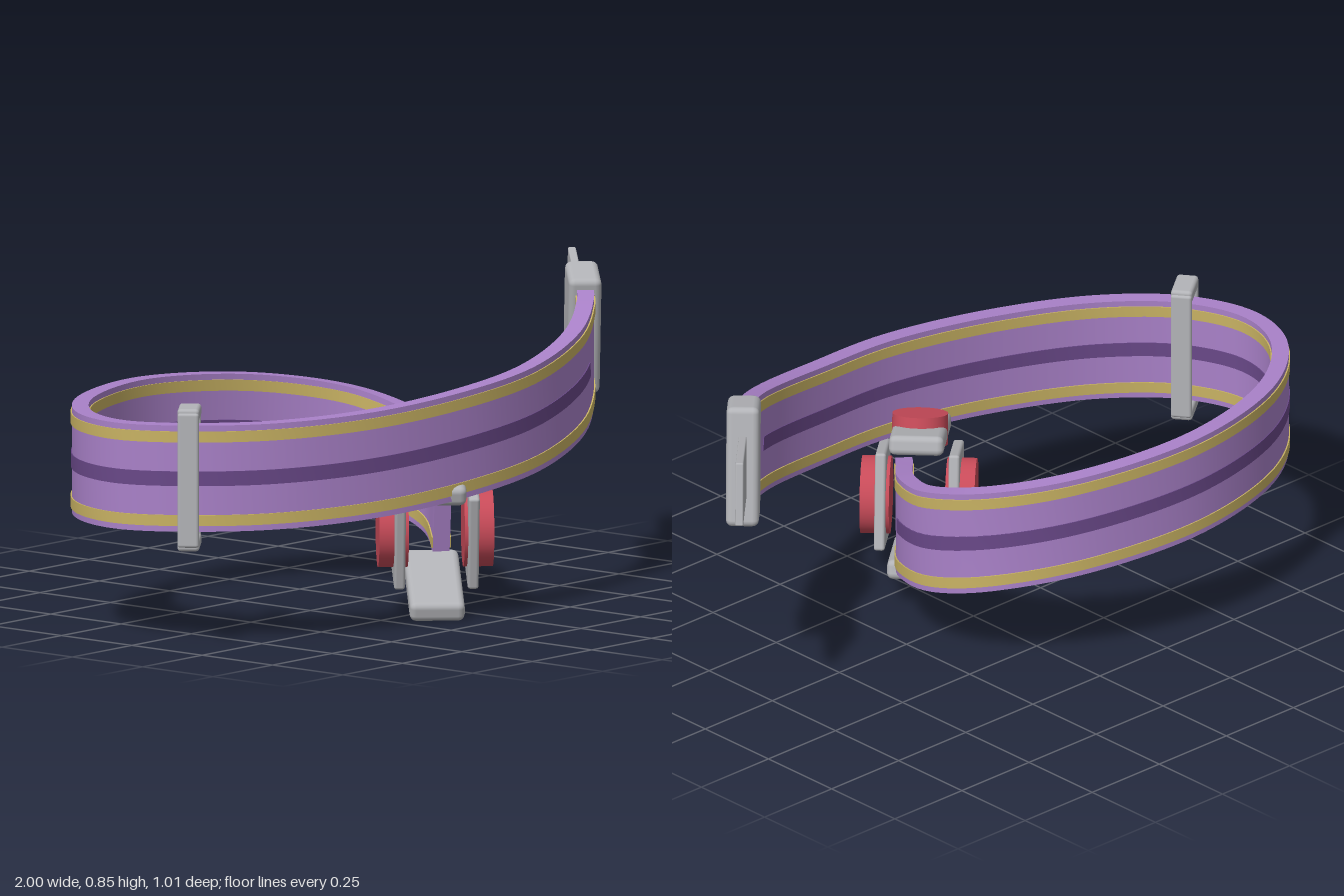
import * as THREE from 'three';
import { RoundedBoxGeometry } from 'three/addons/geometries/RoundedBoxGeometry.js';

const flat = (name, color) => {
  const m = new THREE.MeshStandardMaterial({ color });
  m.name = name;
  return m;
};

// Centre line of the coiled strap, from the clasp to the free tip
const PATH = new THREE.CatmullRomCurve3([
  [0.07, 0.275, 0.2], [0.19, 0.315, 0.06], [0.235, 0.345, -0.08], [0.19, 0.39, -0.25],
  [0, 0.43, -0.41], [-0.36, 0.457, -0.49], [-0.72, 0.46, -0.4], [-0.92, 0.46, -0.23],
  [-0.97, 0.46, -0.06], [-0.9, 0.463, 0.12], [-0.73, 0.465, 0.28], [-0.45, 0.475, 0.4],
  [-0.1, 0.5, 0.45], [0.2, 0.527, 0.42], [0.45, 0.575, 0.345], [0.62, 0.627, 0.24],
  [0.72, 0.663, 0.145],
].map((p) => new THREE.Vector3(...p)));
PATH.arcLengthDivisions = 600;

// Sweeps a rectangle (v across the strap width, half thickness n) along the path
function sweep(u0, u1, v0, v1, n, steps = 140) {
  const pos = [], idx = [];
  const up = new THREE.Vector3(0, 1, 0);
  const corners = [[v0, n], [v1, n], [v1, -n], [v0, -n]];
  for (let i = 0; i <= steps; i++) {
    const u = u0 + (u1 - u0) * i / steps;
    const p = PATH.getPointAt(u), t = PATH.getTangentAt(u);
    const side = new THREE.Vector3().crossVectors(t, up).normalize();
    const v = new THREE.Vector3().crossVectors(side, t);
    // each side keeps its own two vertices so that edges stay sharp
    for (let k = 0; k < 4; k++) {
      for (const [a, b] of [corners[k], corners[(k + 1) % 4]]) {
        const q = p.clone().addScaledVector(v, a).addScaledVector(side, b);
        pos.push(q.x, q.y, q.z);
      }
    }
  }
  for (let i = 0; i < steps; i++) {
    for (let k = 0; k < 4; k++) {
      const a = i * 8 + k * 2, b = a + 1, c = a + 8, d = a + 9;
      idx.push(a, b, c, b, d, c);
    }
  }
  // end caps
  for (const [base, flip] of [[0, false], [steps * 8, true]]) {
    const s = pos.length / 3;
    for (let k = 0; k < 4; k++) {
      const o = (base + k * 2) * 3;
      pos.push(pos[o], pos[o + 1], pos[o + 2]);
    }
    if (flip) idx.push(s, s + 1, s + 2, s, s + 2, s + 3);
    else idx.push(s, s + 2, s + 1, s, s + 3, s + 2);
  }
  const g = new THREE.BufferGeometry();
  g.setAttribute('position', new THREE.Float32BufferAttribute(pos, 3));
  g.setIndex(idx);
  g.computeVertexNormals();
  return g;
}

// Group whose x runs along the strap, y across its width, z out of its face
function framed(name, origin, direction) {
  const t = new THREE.Vector3(...direction).normalize();
  const n = new THREE.Vector3().crossVectors(t, new THREE.Vector3(0, 1, 0)).normalize();
  const u = new THREE.Vector3().crossVectors(n, t);
  const g = new THREE.Group();
  g.name = name;
  g.quaternion.setFromRotationMatrix(new THREE.Matrix4().makeBasis(t, u, n));
  g.position.set(...origin);
  return g;
}

export function createModel() {
  const purple = flat('purple strap', 0xa981c8);
  purple.side = THREE.DoubleSide;
  const darkPurple = flat('dark purple', 0x694888);
  darkPurple.side = THREE.DoubleSide;
  const gold = flat('gold', 0xc8b263);
  gold.side = THREE.DoubleSide;
  const metal = flat('grey metal', 0xb3b4b8);
  const red = flat('red', 0xc84b59);

  const model = new THREE.Group();
  model.name = 'belt';
  const add = (parent, name, geometry, material, x = 0, y = 0, z = 0) => {
    const m = new THREE.Mesh(geometry, material);
    m.name = name;
    m.position.set(x, y, z);
    parent.add(m);
    return m;
  };
  const box = (w, h, d, r) => new RoundedBoxGeometry(w, h, d, 2, r);

  // Strap with edge bands and a centre stripe on both faces
  add(model, 'strap', sweep(0, 1, -0.146, 0.146, 0.023), purple);
  add(model, 'upperBand', sweep(0.001, 0.999, 0.1, 0.13, 0.0265), gold);
  add(model, 'lowerBand', sweep(0.001, 0.999, -0.13, -0.1, 0.0265), gold);
  add(model, 'centreStripe', sweep(0.042, 0.936, -0.02, 0.02, 0.0255), darkPurple);

  // Tip block with a flat tongue
  const tip = framed('tip', [0.728, 0.67, 0.138], [0.69, 0.21, -0.69]);
  add(tip, 'tipBlock', box(0.155, 0.335, 0.09, 0.018), metal);
  add(tip, 'tongue', box(0.32, 0.176, 0.022, 0.004), metal, 0.21);
  model.add(tip);

  // Keeper loop around the strap
  const keeper = framed('keeper', [-0.9, 0.463, 0.12], [0.6, 0, 0.8]);
  for (const s of [-1, 1]) {
    add(keeper, s > 0 ? 'outerBar' : 'innerBar', box(0.058, 0.37, 0.022, 0.008), metal, 0, 0, s * 0.05);
    add(keeper, s > 0 ? 'topBar' : 'bottomBar', box(0.06, 0.036, 0.11, 0.01), metal, 0, s * 0.178, 0);
  }
  model.add(keeper);

  // Clasp: two end slabs, two side plates and round buttons
  const clasp = framed('clasp', [-0.07, 0.237, 0.29], [0.7, 0.26, -0.66]);
  for (const s of [-1, 1]) {
    add(clasp, s > 0 ? 'topSlab' : 'bottomSlab', box(0.37, 0.055, 0.15, 0.018), metal, 0, s * 0.172, 0);
    add(clasp, 'sidePlate', box(0.225, 0.27, 0.03, 0.008), metal, 0, 0, s * 0.1);
    const button = add(clasp, 'sideButton', new THREE.CylinderGeometry(0.106, 0.106, 0.08, 40), red, 0, 0, s * 0.116);
    button.rotation.x = Math.PI / 2;
  }
  add(clasp, 'topButton', new THREE.CylinderGeometry(0.076, 0.076, 0.085, 36), red, 0, 0.186, 0);
  model.add(clasp);

  return model;
}
